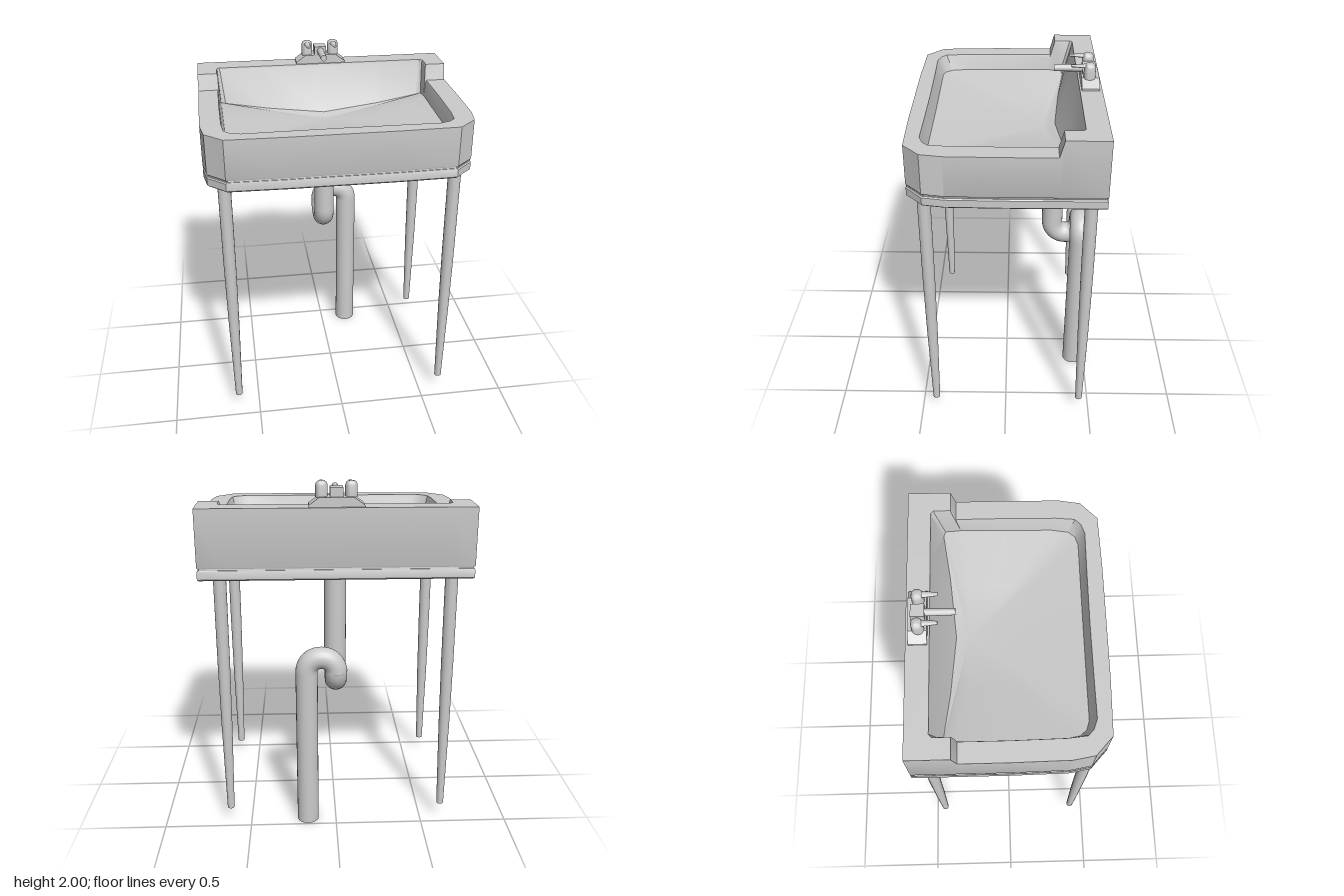
import * as THREE from 'three';
import { toCreasedNormals } from 'three/addons/utils/BufferGeometryUtils.js';

const grey = new THREE.MeshStandardMaterial({ color: 0xcccccc });

function add(parent, name, geometry, x = 0, y = 0, z = 0) {
  const mesh = new THREE.Mesh(geometry, grey);
  mesh.name = name;
  mesh.position.set(x, y, z);
  parent.add(mesh);
  return mesh;
}

// Half loop [x, z, y] from back centre round the left side to front centre, mirrored to a full loop
function ring(half, scale = 1, height) {
  const right = half.slice(1, -1).reverse().map(([x, z, y]) => [-x, z, y]);
  return [...half, ...right].map(([x, z, y]) =>
    new THREE.Vector3(x * scale, height ? height(z) : y, z * scale));
}

// Skin a list of equally long loops
function loft(rings, crease = 0.5) {
  const n = rings[0].length, index = [];
  for (let k = 0; k < rings.length - 1; k++) {
    for (let i = 0; i < n; i++) {
      const j = (i + 1) % n;
      const a = k * n + i, b = k * n + j, c = b + n, d = a + n;
      index.push(a, d, c, a, c, b);
    }
  }
  const geometry = new THREE.BufferGeometry().setFromPoints(rings.flat());
  geometry.setIndex(index);
  return toCreasedNormals(geometry, crease);
}

const outer = [
  [0, -0.51], [0.35, -0.51], [0.6, -0.51], [0.73, -0.51], [0.73, -0.285], [0.73, -0.26],
  [0.73, 0], [0.725, 0.3], [0.705, 0.415], [0.655, 0.46], [0.61, 0.503], [0.3, 0.51], [0, 0.51],
];
const inner = [
  [0, -0.39], [0.35, -0.39], [0.605, -0.39], [0.62, -0.375], [0.62, -0.285], [0.62, -0.26],
  [0.62, 0], [0.615, 0.28], [0.605, 0.38], [0.575, 0.41], [0.52, 0.43], [0.3, 0.427], [0, 0.425],
];
const floorEdge = [
  [0, -0.27, 1.61], [0.33, -0.3, 1.64], [0.58, -0.335, 1.67], [0.605, -0.325, 1.68],
  [0.605, -0.27, 1.685], [0.605, -0.24, 1.69], [0.6, 0, 1.69], [0.595, 0.26, 1.69],
  [0.58, 0.35, 1.69], [0.55, 0.385, 1.69], [0.5, 0.4, 1.69], [0.29, 0.4, 1.685], [0, 0.4, 1.68],
];

function createBasin(group) {
  const rim = (z) => (z < -0.27 ? 1.87 : 1.78);
  // Floor loops shrink towards the low point at the back
  const floor = (t) => ring(floorEdge.map(([x, z, y]) => [
    x * t, THREE.MathUtils.lerp(-0.2, z, t), THREE.MathUtils.lerp(1.59, y, t),
  ]));
  add(group, 'basin', loft([
    ring(outer, 0, () => 1.555),
    ring(outer, 0.995, () => 1.555),
    ring(outer, 1, () => 1.562),
    ring(outer, 1, rim),
    ring(inner, 1, rim),
    ring(inner, 0.992, (z) => rim(z) - 0.015),
    floor(1), floor(0.5), floor(0),
  ]));
  // Base slab and the recessed seam above it
  add(group, 'baseSlab', loft([
    ring(outer, 0, () => 1.49),
    ring(outer, 0.99, () => 1.49),
    ring(outer, 1, () => 1.497),
    ring(outer, 1, () => 1.538),
    ring(outer, 0.993, () => 1.545),
    ring(outer, 0.985, () => 1.545),
    ring(outer, 0.985, () => 1.557),
  ]));
}

function createLegs(group) {
  const profile = [[0, 0.09], [0.02, 0.09], [0.03, 0.6], [0.034, 1.0], [0.035, 1.5]]
    .map(([r, y]) => new THREE.Vector2(r, y));
  const geometry = toCreasedNormals(new THREE.LatheGeometry(profile, 20), 0.6);
  for (const x of [-0.62, 0.62]) {
    add(group, 'frontLeg', geometry, x, 0, 0.415);
    add(group, 'backLeg', geometry, x, 0, -0.44);
  }
}

function createDrain(group) {
  const v = (x, y, z) => new THREE.Vector3(x, y, z);
  const path = new THREE.CurvePath();
  const line = (a, b) => path.add(new THREE.LineCurve3(a, b));
  // Half-circle bend between two level points, reaching h above or below
  const bend = (a, b, h) => {
    const up = v(0, h * 4 / 3, 0);
    path.add(new THREE.CubicBezierCurve3(a, a.clone().add(up), b.clone().add(up), b));
  };
  const p = [v(0, 1.52, -0.275), v(0, 0.96, -0.275), v(0, 0.96, -0.44),
    v(0, 0.94, -0.44), v(0.165, 0.94, -0.435), v(0.165, 0, -0.43)];
  line(p[0], p[1]);
  bend(p[1], p[2], -0.088);
  line(p[2], p[3]);
  bend(p[3], p[4], 0.085);
  line(p[4], p[5]);
  add(group, 'drainPipe', new THREE.TubeGeometry(path, 160, 0.062, 24));
  add(group, 'drainPipeEnd', new THREE.CircleGeometry(0.062, 24).rotateX(Math.PI / 2), 0.165, 0.001, -0.43);
}

function createFaucet(group) {
  const faucet = new THREE.Group();
  faucet.name = 'faucet';
  group.add(faucet);

  // Mounting plate with sloped ends
  const plate = new THREE.Shape([[-0.145, 1.865], [0.145, 1.865], [0.145, 1.88], [0.09, 1.92], [-0.09, 1.92], [-0.145, 1.88]]
    .map(([x, y]) => new THREE.Vector2(x, y)));
  add(faucet, 'faucetPlate', new THREE.ExtrudeGeometry(plate, { depth: 0.095, bevelEnabled: false }), 0, 0, -0.495);

  // Spout
  add(faucet, 'spoutBlock', new THREE.BoxGeometry(0.068, 0.05, 0.07), 0, 1.943, -0.442);
  add(faucet, 'spout', new THREE.CylinderGeometry(0.018, 0.02, 0.16, 16).rotateX(Math.PI / 2), 0, 1.942, -0.335);

  // Domed handles with forward levers
  const knob = [[0.032, 1.915], [0.032, 1.975], [0.028, 1.99], [0.017, 1.998], [0, 2.0]]
    .map(([r, y]) => new THREE.Vector2(r, y));
  const knobGeometry = toCreasedNormals(new THREE.LatheGeometry(knob, 20), 0.9);
  for (const x of [-0.077, 0.077]) {
    add(faucet, 'handle', knobGeometry, x, 0, -0.442);
    const lever = add(faucet, 'lever', new THREE.CylinderGeometry(0.01, 0.02, 0.095, 12).rotateX(Math.PI / 2), x, 1.983, -0.388);
    lever.scale.y = 0.6;
  }
}

export function createModel() {
  const group = new THREE.Group();
  group.name = 'washbasin';
  createBasin(group);
  createLegs(group);
  createDrain(group);
  createFaucet(group);
  return group;
}
